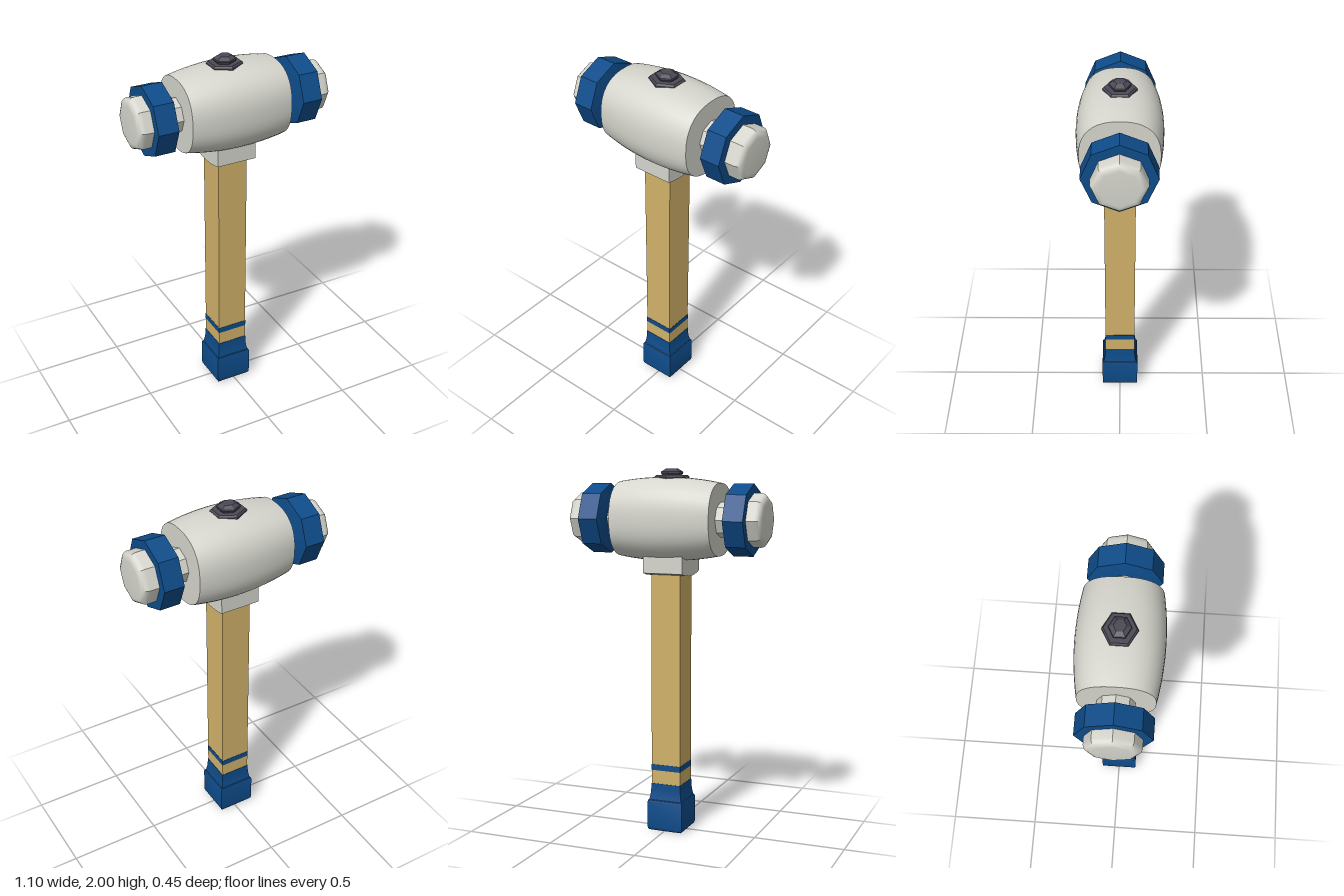
import * as THREE from 'three';
import { toCreasedNormals } from 'three/addons/utils/BufferGeometryUtils.js';

const flatColor = (name, color) => {
  const m = new THREE.MeshStandardMaterial({ color });
  m.name = name;
  return m;
};

// Turned solid with few sides; profile rows are [radius, height]
function turned(rows, sides, phase = 0, crease = 0.6) {
  const pts = rows.map(([r, h]) => new THREE.Vector2(r, h));
  return toCreasedNormals(new THREE.LatheGeometry(pts, sides, phase), crease);
}

// Square solid; rows are [half width, height]
const square = (rows) =>
  turned(rows.map(([w, h]) => [w * Math.SQRT2, h]), 4, Math.PI / 4);

// Barrel along x whose section is a soft square
function barrelGeometry() {
  const x0 = -0.288, x1 = 0.273, n = 16, pts = [new THREE.Vector2(0, x0)];
  for (let i = 0; i <= n; i++) {
    const t = i / n, s = 2 * t - 1;
    pts.push(new THREE.Vector2(0.224 - 0.026 * s * s + 0.005 * s, x0 + (x1 - x0) * t));
  }
  pts.push(new THREE.Vector2(0, x1));
  const geo = new THREE.LatheGeometry(pts, 48);
  const p = geo.attributes.position, e = 2.45;
  for (let i = 0; i < p.count; i++) {
    const x = p.getX(i), z = p.getZ(i), r = Math.hypot(x, z);
    if (r < 1e-6) continue;
    const k = Math.pow(Math.abs(x / r) ** e + Math.abs(z / r) ** e, -1 / e);
    p.setX(i, x * k);
    p.setZ(i, z * k);
  }
  return toCreasedNormals(geo.rotateZ(-Math.PI / 2), 0.6);
}

export function createModel() {
  const model = new THREE.Group();
  model.name = 'mallet';
  const metal = flatColor('pale metal', 0xd6d6ce);
  const blue = flatColor('blue', 0x0e4c8a);
  const wood = flatColor('wood', 0xd2b26a);
  const dark = flatColor('dark steel', 0x4b4955);
  const cx = -0.007, headY = 1.733;

  const add = (name, geo, mat, x = cx, y = 0, parent = model) => {
    const m = new THREE.Mesh(geo, mat);
    m.name = name;
    m.position.set(x, y, 0);
    parent.add(m);
    return m;
  };

  // Handle with painted stripe
  add('handle', new THREE.BoxGeometry(0.168, 1.4, 0.168), wood, cx, 0.9);
  add('handleStripe', new THREE.BoxGeometry(0.171, 0.033, 0.171), blue, cx, 0.363);

  // Flared grip cap
  add('grip', square([
    [0, 0], [0.088, 0], [0.096, 0.004], [0.101, 0.011], [0.103, 0.022],
    [0.103, 0.165], [0.1, 0.175], [0.095, 0.178], [0.09, 0.205],
    [0.087, 0.232], [0.086, 0.27], [0, 0.27],
  ]), blue);

  // Socket under the head, with a bowed underside
  const s = new THREE.Shape();
  s.moveTo(-0.127, 1.6);
  s.lineTo(-0.127, 1.447);
  s.quadraticCurveTo(0, 1.41, 0.127, 1.447);
  s.lineTo(0.127, 1.6);
  s.closePath();
  const socket = new THREE.ExtrudeGeometry(s, { depth: 0.223, bevelEnabled: false, curveSegments: 8 });
  add('socket', socket.translate(0, 0, -0.1115).rotateY(Math.PI / 2), metal, -0.006);

  // Head barrel
  add('headBarrel', barrelGeometry(), metal, 0, headY);

  // Octagonal neck, collar and striking face on both ends
  for (const side of [1, -1]) {
    const end = new THREE.Group();
    end.name = side > 0 ? 'leftEnd' : 'rightEnd';
    end.position.set(0, headY, 0);
    end.rotation.z = -side * Math.PI / 2;
    model.add(end);
    const shift = -0.005 * side;
    add('neck', turned([[0.093, 0.2], [0.093, 0.42]], 8), metal, 0, 0, end);
    add('collar', turned([
      [0, 0.34], [0.095, 0.34], [0.191, 0.356], [0.191, 0.467], [0, 0.467],
    ], 8, 0, 0.3), blue, 0, shift, end);
    add('strikingFace', turned([
      [0.142, 0.44], [0.142, 0.515], [0.14, 0.525], [0.134, 0.536],
      [0.125, 0.544], [0.112, 0.549], [0.1, 0.55], [0, 0.55],
    ], 8), metal, 0, 0, end);
  }

  // Hexagonal bolt on top
  const flange = add('boltFlange', turned([
    [0, 1.93], [0.088, 1.93], [0.088, 1.957], [0.08, 1.967], [0, 1.967],
  ], 6, 0, 0.2), dark, -0.01);
  const bolt = add('boltHead', turned([
    [0.046, 1.96], [0.057, 1.978], [0.055, 1.985], [0.032, 2.0], [0, 2.0],
  ], 6, 0, 0.2), dark, -0.01);
  flange.scale.x = bolt.scale.x = 1.09;

  return model;
}
